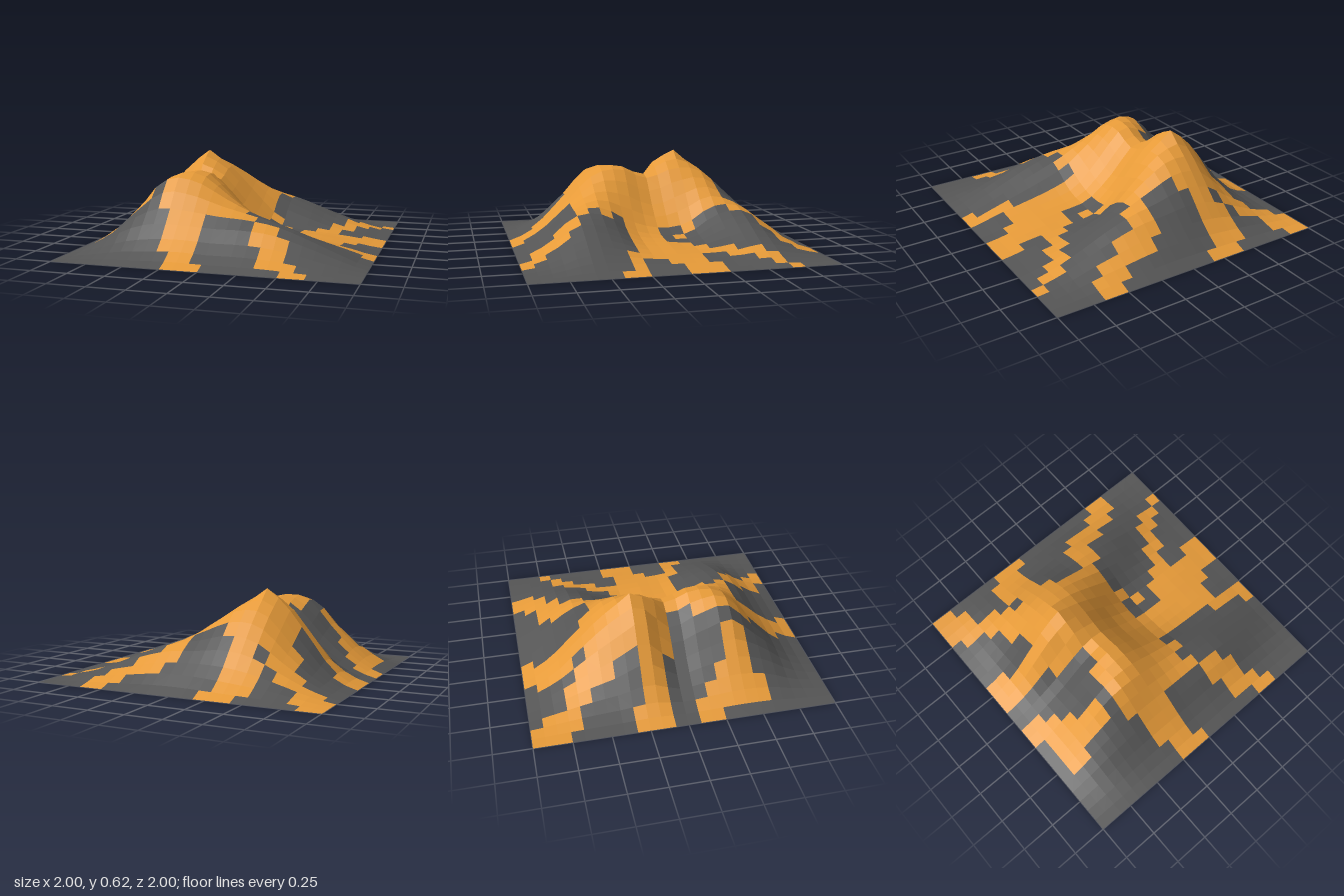
import * as THREE from 'three';

const CELLS = 24;

// Control heights in hundredths, every 0.2 units; rows run back to front, columns left to right
const RELIEF = [
  [3, 7, 10, 12, 13, 12, 9, 6, 2],
  [6, 17, 29, 32, 28, 25, 19, 11, 4],
  [8, 26, 47, 49, 38, 24, 15, 7, 3],
  [11, 36, 55, 52, 32, 12, 7, 5, 3],
  [7, 20, 37, 45, 26, 11, 8, 6, 3],
  [9, 25, 45, 52, 34, 16, 10, 7, 4],
  [11, 30, 49, 48, 37, 27, 20, 13, 6],
  [9, 22, 29, 28, 26, 25, 22, 15, 7],
  [3, 7, 9, 10, 9, 9, 8, 5, 2],
];

// Sharp crags on the back rim: x, z, extra height
const CRAGS = [[-0.333, -0.25, 0.055], [-0.333, -0.09, 0.06], [-0.5, -0.2, 0.015], [-0.5, 0.42, 0.02]];

// Lava streams: '#' marks a lava tile, rows run back to front
const LAVA = [
  '##.....###........##....',
  '###...###........###....',
  '###...###.....#####.....',
  '.####.###....####......#',
  '...###.##....##......##.',
  '....######...##.....##..',
  '....##########......#...',
  '.....#########.....##...',
  '##...#########.....#....',
  '###############...##..##',
  '##############.#.#######',
  '.....#########...#######',
  '........##############..',
  '##......#############...',
  '###....##############...',
  '.###...#######......####',
  '.#####.########........#',
  '.#####.#######..........',
  '.##....########.........',
  '........###....##.......',
  '........###....###......',
  '........###.....##......',
  '.........##.....###.....',
  '.........###......##....',
];

const relief = (r, c) => (RELIEF[r] && RELIEF[r][c] ? RELIEF[r][c] / 100 : 0);

// Smooth curve through four evenly spaced heights
function cubic(a, b, c, d, t) {
  return b + 0.5 * t * (c - a + t * (2 * a - 5 * b + 4 * c - d + t * (3 * (b - c) + d - a)));
}

function height(x, z) {
  if (Math.max(Math.abs(x), Math.abs(z)) > 0.999) return 0;
  const u = (x + 0.8) / 0.2, v = (z + 0.8) / 0.2;
  const c = Math.floor(u), r = Math.floor(v);
  const row = (k) => cubic(relief(k, c - 1), relief(k, c), relief(k, c + 1), relief(k, c + 2), u - c);
  let y = cubic(row(r - 1), row(r), row(r + 1), row(r + 2), v - r);
  for (const [cx, cz, rise] of CRAGS) y += rise * Math.exp(-((x - cx) ** 2 + (z - cz) ** 2) / 0.005);
  return Math.max(0, y);
}

function corner(i, j) {
  const x = (2 * i) / CELLS - 1, z = (2 * j) / CELLS - 1;
  return new THREE.Vector3(x, height(x, z), z);
}

// Builds all tiles of one kind; each four-sided tile has a single normal
function tiles(name, mark, color) {
  const positions = [], normals = [];
  for (let j = 0; j < CELLS; j++) {
    for (let i = 0; i < CELLS; i++) {
      if (LAVA[j][i] !== mark) continue;
      const a = corner(i, j), b = corner(i, j + 1), c = corner(i + 1, j + 1), d = corner(i + 1, j);
      const normal = c.clone().sub(a).cross(d.clone().sub(b)).normalize();
      for (const p of [a, b, d, b, c, d]) {
        positions.push(...p.toArray());
        normals.push(...normal.toArray());
      }
    }
  }
  const geometry = new THREE.BufferGeometry();
  geometry.setAttribute('position', new THREE.Float32BufferAttribute(positions, 3));
  geometry.setAttribute('normal', new THREE.Float32BufferAttribute(normals, 3));
  const material = new THREE.MeshStandardMaterial({ color, side: THREE.DoubleSide });
  const mesh = new THREE.Mesh(geometry, material);
  mesh.name = name;
  return mesh;
}

export function createModel() {
  const group = new THREE.Group();
  group.name = 'volcano';
  group.add(tiles('rockSlopes', '.', 0x555555));
  group.add(tiles('lavaStreams', '#', 0xe69a38));
  return group;
}
